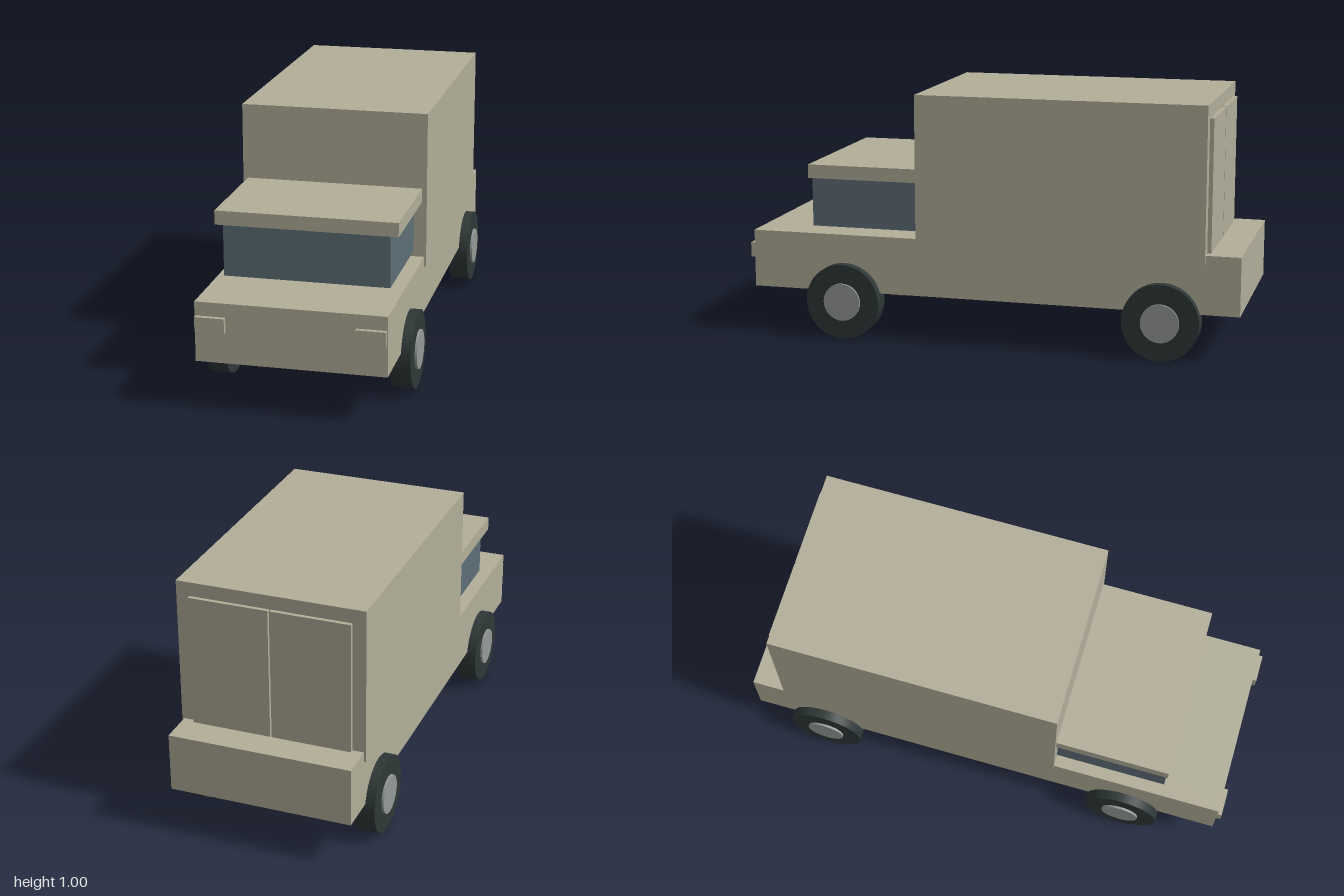
import * as THREE from 'three';

export function createModel() {
  const model = new THREE.Group();
  model.name = 'deliveryVan';

  const material = (name, color) => {
    const m = new THREE.MeshStandardMaterial({ color });
    m.name = name;
    return m;
  };
  const paint = material('beigePaint', 0xb2ae99);
  const glass = material('blueGreyGlass', 0x5d6f78);
  const rubber = material('darkRubber', 0x2e3737);
  const metal = material('greyMetal', 0x949a98);

  // Box given by its lower and upper limits on each axis
  const box = (name, mat, [x0, x1], [y0, y1], [z0, z1]) => {
    const mesh = new THREE.Mesh(new THREE.BoxGeometry(x1 - x0, y1 - y0, z1 - z0), mat);
    mesh.position.set((x0 + x1) / 2, (y0 + y1) / 2, (z0 + z1) / 2);
    mesh.name = name;
    model.add(mesh);
  };

  // Chassis, cargo box and cab
  box('chassis', paint, [-0.362, 0.362], [0.187, 0.42], [-1, 0.982]);
  box('cargoBox', paint, [-0.37, 0.37], [0.38, 0.997], [-0.862, 0.293]);
  box('cabWindows', glass, [-0.32, 0.32], [0.442, 0.645], [0.28, 0.742]);
  box('cabRoof', paint, [-0.351, 0.351], [0.643, 0.698], [0.28, 0.748]);

  // Mirrored rear doors and headlights
  for (const side of [1, -1]) {
    const label = side > 0 ? 'left' : 'right';
    const span = (a, b) => (side > 0 ? [a, b] : [-b, -a]);
    box(label + 'RearDoor', paint, span(0.003, 0.317), [0.41, 0.942], [-0.878, -0.85]);
    box(label + 'Headlight', paint, span(0.245, 0.358), [0.307, 0.366], [0.97, 1]);
  }

  // Wheels: tyre and hub cap lying along x
  const radius = 0.152;
  const tyreGeo = new THREE.CylinderGeometry(radius, radius, 0.08, 48).rotateZ(Math.PI / 2);
  const hubGeo = new THREE.CylinderGeometry(0.076, 0.076, 0.09, 32).rotateZ(Math.PI / 2);
  for (const side of [1, -1]) {
    for (const [end, z] of [['front', 0.595], ['rear', -0.697]]) {
      const wheel = new THREE.Group();
      wheel.name = end + (side > 0 ? 'Left' : 'Right') + 'Wheel';
      wheel.position.set(side * 0.36, radius, z);
      const tyre = new THREE.Mesh(tyreGeo, rubber);
      tyre.name = 'tyre';
      const hub = new THREE.Mesh(hubGeo, metal);
      hub.name = 'hubCap';
      hub.position.x = side * 0.005;
      hub.scale.x = 0.98;
      wheel.add(tyre, hub);
      model.add(wheel);
    }
  }
  return model;
}
